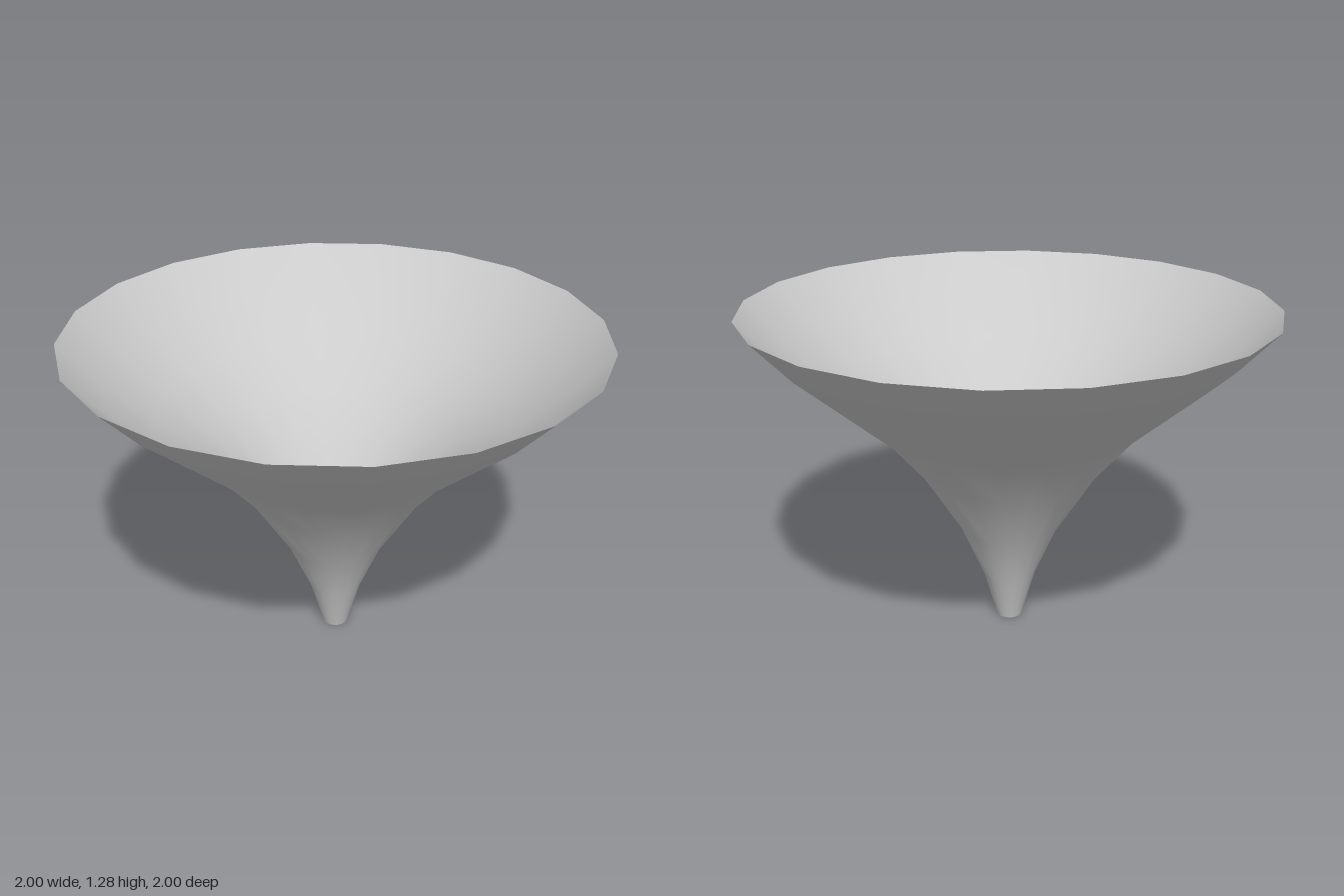
import * as THREE from 'three';

export function createModel() {
  const group = new THREE.Group();
  group.name = 'funnel';

  // Flared profile from the narrow spout up to the wide rim: [radius, height]
  const profile = [
    [0.05, 0], [0.102, 0.187], [0.193, 0.398], [0.347, 0.643],
    [0.497, 0.818], [0.68, 0.976], [0.856, 1.128], [1, 1.283],
  ].map(([r, y]) => new THREE.Vector2(r, y));

  // Thin shell, open at both ends
  const shell = new THREE.Mesh(
    new THREE.LatheGeometry(profile, 20),
    new THREE.MeshStandardMaterial({ color: 0xcccccc, side: THREE.DoubleSide })
  );
  shell.name = 'flaredShell';
  group.add(shell);

  return group;
}
